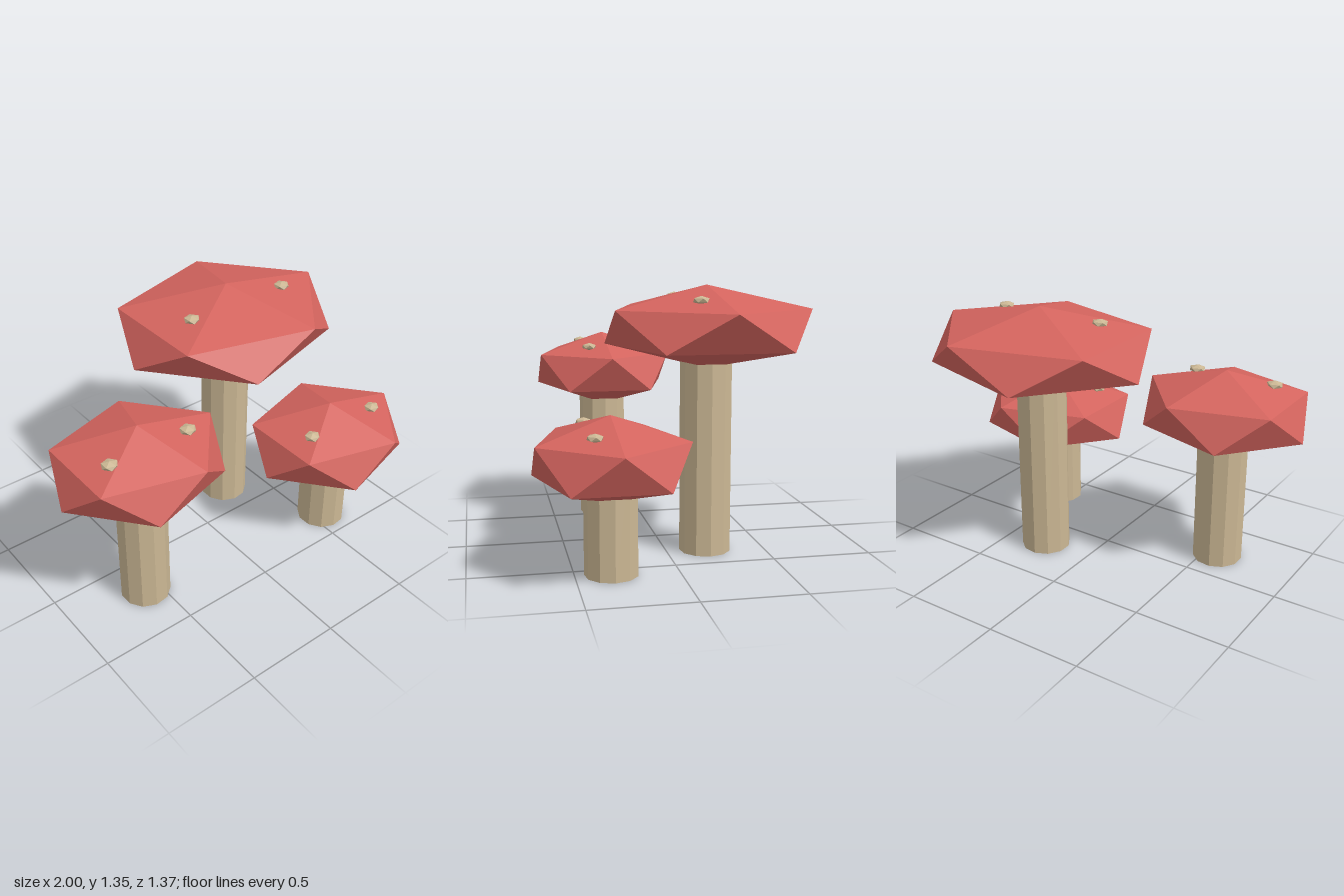
import * as THREE from 'three';

const capRed = new THREE.MeshStandardMaterial({ color: 0xd4645e });
capRed.name = 'capRed';
const stemTan = new THREE.MeshStandardMaterial({ color: 0xcbb794 });
stemTan.name = 'stemTan';

// Icosahedron standing on a corner, with an upper-ring corner towards +x
function facetedBlob(rx, ry, rz) {
  const geo = new THREE.IcosahedronGeometry(1, 0);
  geo.rotateZ(-Math.atan(2 / (1 + Math.sqrt(5))));
  geo.scale(rx, ry, rz);
  geo.computeVertexNormals();
  return geo;
}

// Faceted stem from the ground up to the middle of the cap
function stemGeometry(height) {
  const geo = new THREE.CylinderGeometry(0.13, 0.13, height, 11, 1, false, Math.PI / 2).toNonIndexed();
  geo.translate(0, height / 2, 0);
  geo.computeVertexNormals();
  return geo;
}

function addPart(group, name, geometry, material, x, y, z) {
  const mesh = new THREE.Mesh(geometry, material);
  mesh.name = name;
  mesh.position.set(x, y, z);
  group.add(mesh);
}

function createMushroom({ name, x, z, capY, rx, rz, spotX }) {
  const mushroom = new THREE.Group();
  mushroom.name = name;
  mushroom.position.set(x, 0, z);
  addPart(mushroom, 'stem', stemGeometry(capY), stemTan, 0, 0, 0);
  addPart(mushroom, 'cap', facetedBlob(rx, 0.205, rz), capRed, 0, capY, 0);
  // Two spots on the front slope of the cap
  for (const side of [-1, 1]) {
    addPart(mushroom, side > 0 ? 'leftSpot' : 'rightSpot',
      facetedBlob(0.045, 0.02, 0.042), stemTan, side * spotX, capY + 0.142, 0.1);
  }
  return mushroom;
}

export function createModel() {
  const model = new THREE.Group();
  model.name = 'mushroomCluster';
  const mushrooms = [
    { name: 'tallMushroom', x: 0.275, z: -0.2, capY: 1.14, rx: 0.654, rz: 0.568, spotX: 0.295 },
    { name: 'rightMushroom', x: -0.572, z: 0.205, capY: 0.85, rx: 0.479, rz: 0.422, spotX: 0.217 },
    { name: 'leftMushroom', x: 0.569, z: 0.325, capY: 0.557, rx: 0.479, rz: 0.422, spotX: 0.217 },
  ];
  for (const m of mushrooms) model.add(createMushroom(m));
  return model;
}
